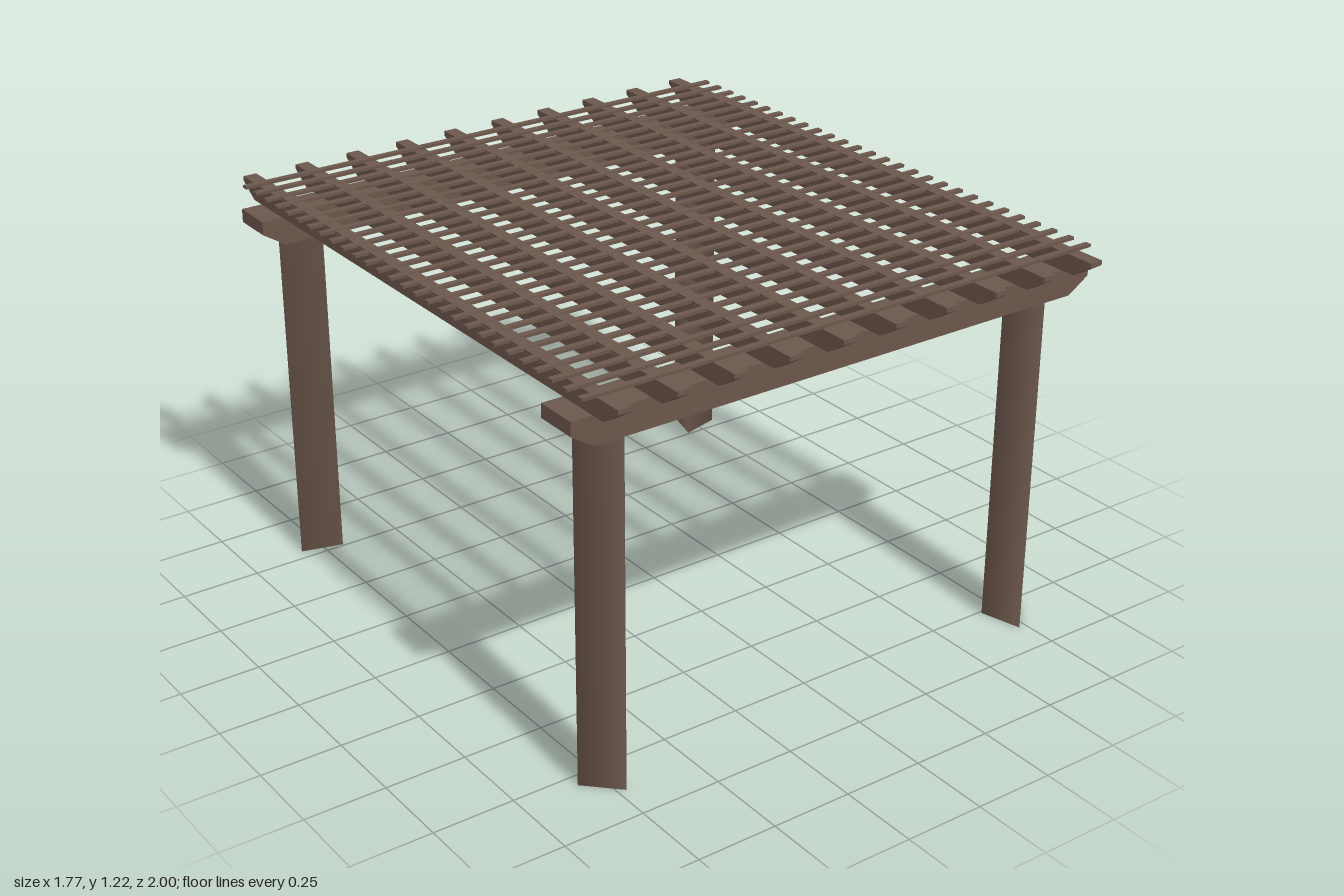
import * as THREE from 'three';

const wood = new THREE.MeshStandardMaterial({ color: 0x6b574c });
wood.name = 'brown wood';

// Bar with ends cut away below: profile in x/y, centred depth in z
function cutBar(half, cut, y0, yLip, y1, depth) {
  const s = new THREE.Shape([
    new THREE.Vector2(-half + cut, y0), new THREE.Vector2(half - cut, y0),
    new THREE.Vector2(half, yLip), new THREE.Vector2(half, y1),
    new THREE.Vector2(-half, y1), new THREE.Vector2(-half, yLip),
  ]);
  const g = new THREE.ExtrudeGeometry(s, { depth, bevelEnabled: false });
  return g.translate(0, 0, -depth / 2);
}

export function createModel() {
  const model = new THREE.Group();
  model.name = 'pergola';
  const add = (name, geo, x, y, z) => {
    const m = new THREE.Mesh(geo, wood);
    m.name = name;
    m.position.set(x, y, z);
    model.add(m);
    return m;
  };

  // Three-sided posts, one edge pointing to the middle
  const post = new THREE.CylinderGeometry(0.0777, 0.0777, 1.07, 3);
  for (const sx of [-1, 1]) for (const sz of [-1, 1]) {
    add('post', post, sx * 0.745, 0.535, sz * 0.812).rotation.y = Math.atan2(-sx, -sz);
  }

  // Main beams across the front and back
  const beam = cutBar(0.887, 0.07, 1.07, 1.115, 1.157, 0.133);
  for (const sz of [-1, 1]) add('beam', beam, 0, 0, sz * 0.822);

  // Rafters running front to back, each with a thin batten on top
  const rafter = cutBar(1, 0.065, 1.157, 1.2, 1.214, 0.043).rotateY(Math.PI / 2);
  const batten = new THREE.BoxGeometry(0.04, 0.007, 1.556);
  for (let i = 0; i < 10; i++) {
    const x = -0.8 + i * (1.6 / 9);
    add('rafter', rafter, x, 0, 0);
    add('batten', batten, x, 1.2175, 0);
  }

  // Thin slats lying across the rafters
  const slat = new THREE.BoxGeometry(1.734, 0.009, 0.02);
  for (let i = 0; i < 28; i++) add('slat', slat, 0, 1.2185, -0.9 + i * (1.8 / 27));

  return model;
}
